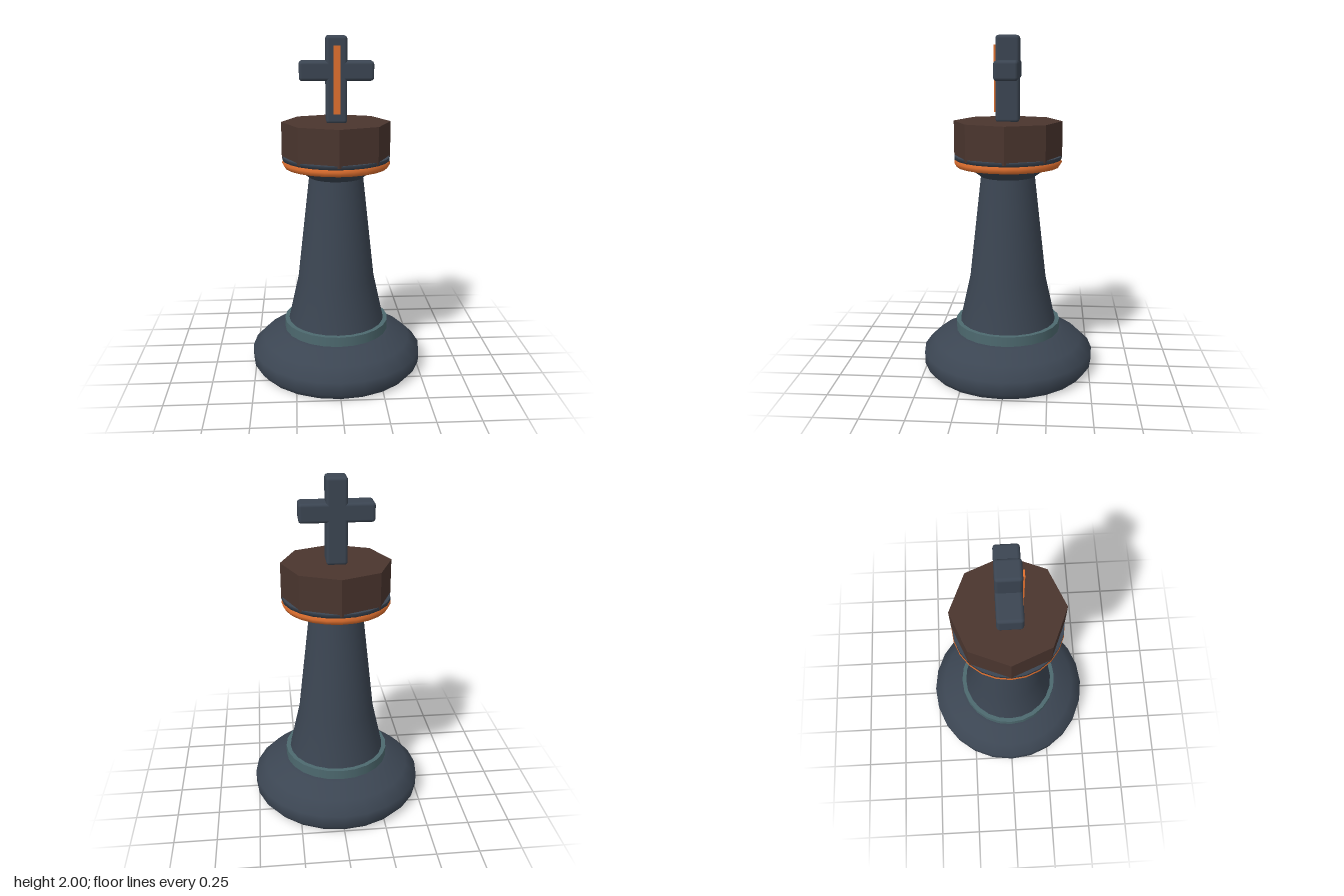
import * as THREE from 'three';
import { RoundedBoxGeometry } from 'three/addons/geometries/RoundedBoxGeometry.js';

const SIDES = 24;

export function createModel() {
  const model = new THREE.Group();
  model.name = 'kingChessPiece';

  const slate = new THREE.MeshStandardMaterial({ color: 0x3b4552 });
  const teal = new THREE.MeshStandardMaterial({ color: 0x4d696f });
  const orange = new THREE.MeshStandardMaterial({ color: 0xe0702f });
  const brown = new THREE.MeshStandardMaterial({ color: 0x4a352e, flatShading: true });

  const add = (name, geometry, material, x = 0, y = 0, z = 0) => {
    const mesh = new THREE.Mesh(geometry, material);
    mesh.name = name;
    mesh.position.set(x, y, z);
    model.add(mesh);
    return mesh;
  };

  // Lathe from [radius, height] points; a repeated point makes a hard edge
  const lathe = (points) =>
    new THREE.LatheGeometry(points.map(([r, y]) => new THREE.Vector2(r, y)), SIDES);

  // Wide rounded foot
  add('base', lathe([
    [0, 0], [0.485, 0], [0.485, 0], [0.517, 0.04], [0.517, 0.115],
    [0.45, 0.18], [0.34, 0.235], [0.3, 0.245], [0, 0.245],
  ]), slate);

  // Teal band between the foot and the shaft
  add('baseCollar', new THREE.CylinderGeometry(0.317, 0.317, 0.065, SIDES), teal, 0, 0.267, 0);

  // Tapering shaft that flares out under the crown
  add('shaft', lathe([
    [0.295, 0.28], [0.23, 0.57], [0.16, 1.19], [0.16, 1.19],
    [0.255, 1.26], [0.315, 1.295], [0.315, 1.315], [0.315, 1.315], [0, 1.315],
  ]), slate);

  // Orange ring around the flare
  add('crownRing', new THREE.TorusGeometry(0.288, 0.03, 6, SIDES), orange, 0, 1.278, 0)
    .rotation.x = Math.PI / 2;

  // Octagonal crown
  add('crown', new THREE.CylinderGeometry(0.318, 0.318, 0.213, 8), brown, 0, 1.408, 0);

  // Cross with softened edges and an inlaid strip on its front
  add('crossUpright', new RoundedBoxGeometry(0.12, 0.49, 0.137, 2, 0.018), slate, 0, 1.755, 0);
  add('crossArm', new RoundedBoxGeometry(0.424, 0.11, 0.137, 2, 0.018), slate, 0, 1.806, 0);
  add('crossInlay', new THREE.BoxGeometry(0.038, 0.38, 0.02), orange, 0, 1.756, 0.07);

  return model;
}
